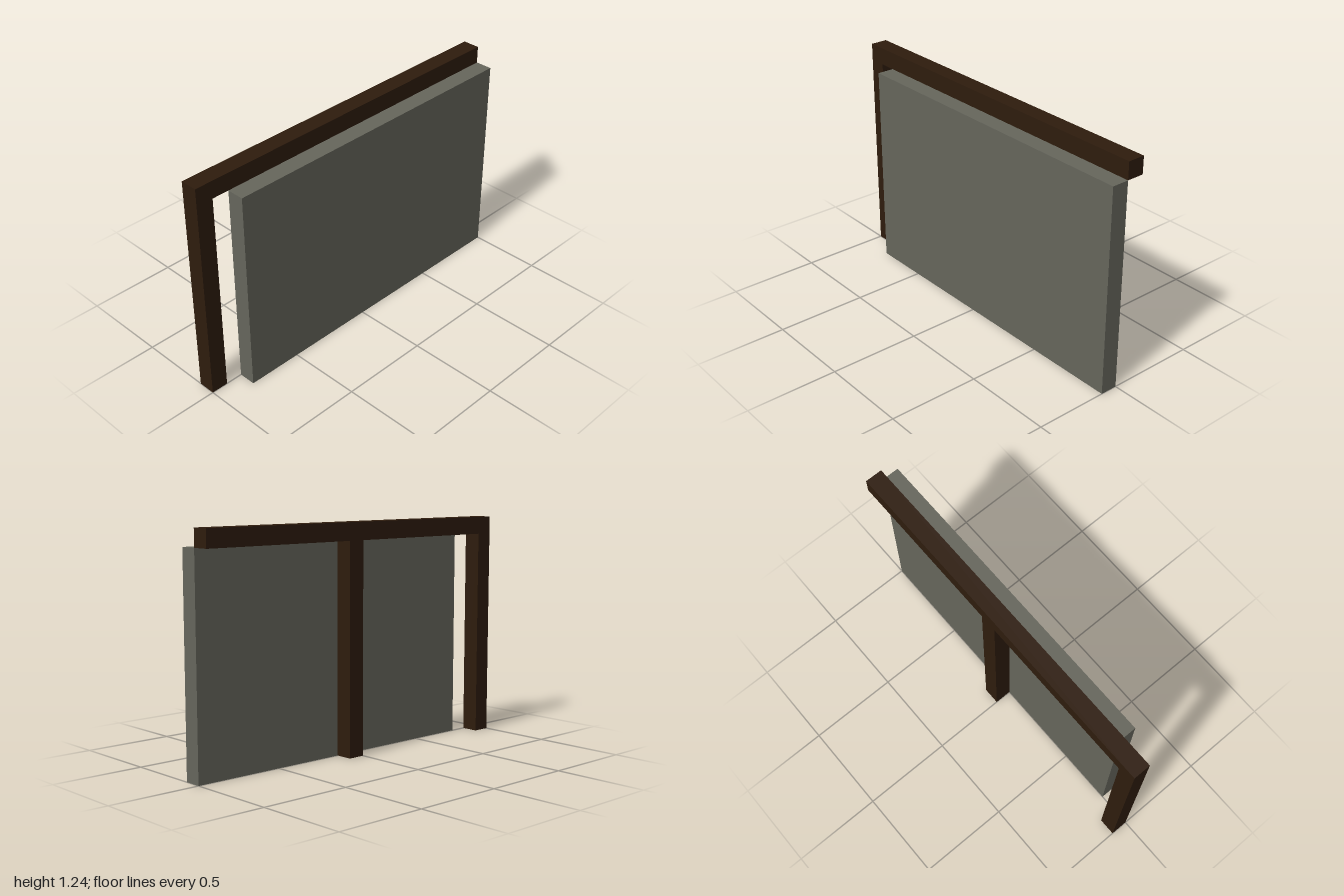
import * as THREE from 'three';

const T = 2 / 21; // thickness of timbers and panel
const LENGTH = 2;
const HEIGHT = 13 * T;
const PANEL_HEIGHT = HEIGHT - T;
const PANEL_LENGTH = 19 * T;

const wood = new THREE.MeshStandardMaterial({ color: 0x2e1c0d });
const stone = new THREE.MeshStandardMaterial({ color: 0x66665c });

// Box given by its lowest corner (x, y, z) and its size
function block(name, material, [x, y, z], [w, h, d]) {
  const mesh = new THREE.Mesh(new THREE.BoxGeometry(w, h, d), material);
  mesh.name = name;
  mesh.position.set(x + w / 2, y + h / 2, z + d / 2);
  return mesh;
}

export function createModel() {
  const model = new THREE.Group();
  model.name = 'framedWall';

  // Beam along the top
  model.add(block('topBeam', wood, [-T, PANEL_HEIGHT, -LENGTH / 2], [T, T, LENGTH]));

  // Posts under the beam: one at the front end, one midway
  const posts = { endPost: LENGTH / 2 - T, middlePost: -T };
  for (const [name, z] of Object.entries(posts)) {
    model.add(block(name, wood, [-T, 0, z], [T, PANEL_HEIGHT, T]));
  }

  // Panel standing against the frame
  model.add(block('wallPanel', stone, [0, 0, -LENGTH / 2], [T, PANEL_HEIGHT, PANEL_LENGTH]));

  return model;
}
